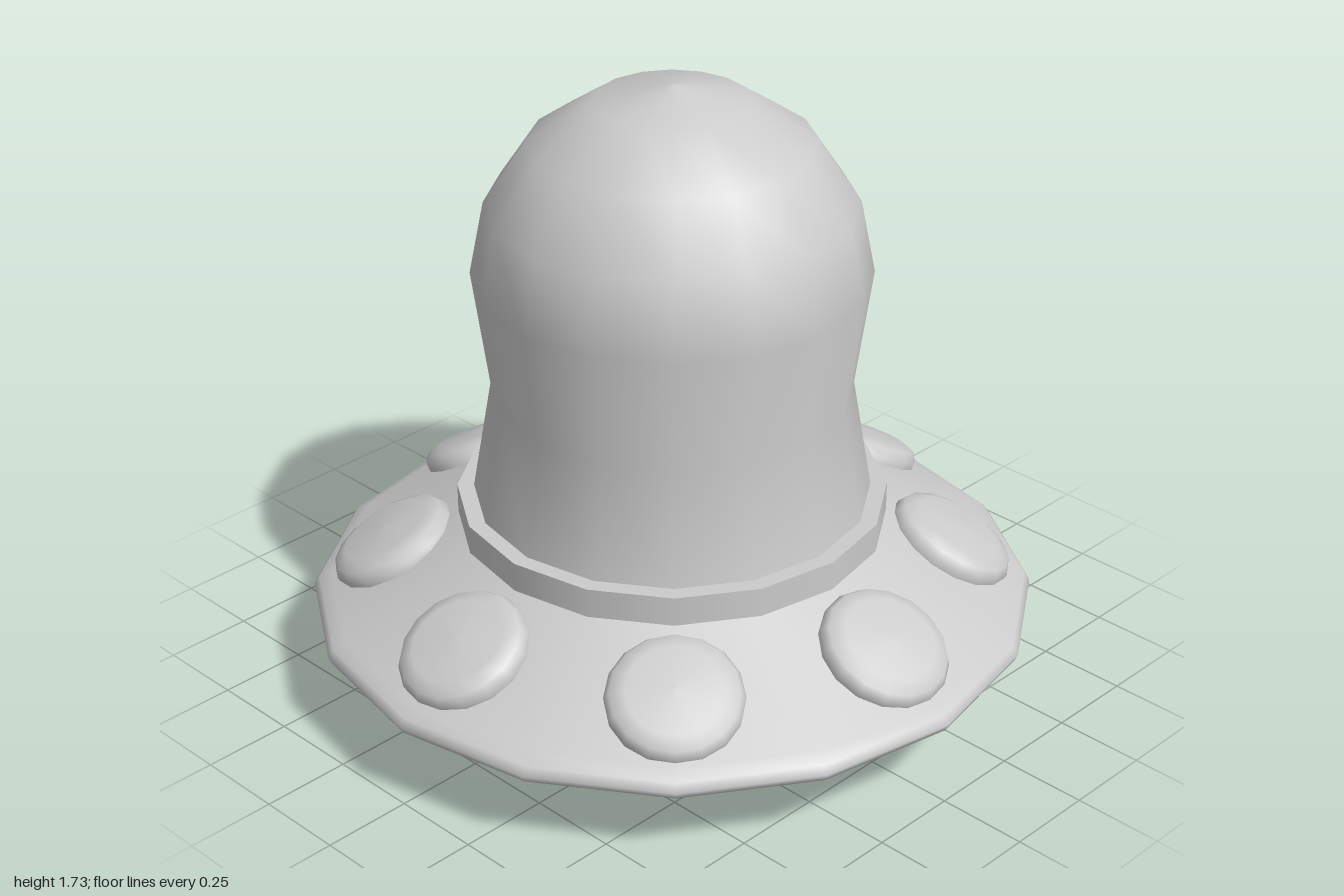
import * as THREE from 'three';

const SIDES = 16;
const material = new THREE.MeshStandardMaterial({ color: 0xcccccc });

function part(name, geometry) {
  const mesh = new THREE.Mesh(geometry, material);
  mesh.name = name;
  return mesh;
}

// Turned shape from [radius, height] pairs, listed bottom to top
function turned(profile) {
  return new THREE.LatheGeometry(profile.map(([r, y]) => new THREE.Vector2(r, y)), SIDES);
}

export function createModel() {
  const saucer = new THREE.Group();
  saucer.name = 'flyingSaucer';

  // Saucer hull with a softly rounded rim, closed by a flat base
  saucer.add(part('hull', turned([
    [0.5, 0], [0.97, 0.205], [0.99, 0.22], [1, 0.24], [0.985, 0.262], [0.95, 0.28], [0.585, 0.475],
  ])));
  const base = new THREE.CircleGeometry(0.5, SIDES).rotateX(Math.PI / 2);
  saucer.add(part('base', base));

  // Collar that seats the canopy
  const collar = part('collar', new THREE.CylinderGeometry(0.59, 0.59, 0.085, SIDES));
  collar.position.y = 0.5125;
  saucer.add(collar);

  // Canopy: waisted neck under a hemispherical top
  const canopy = [[0.545, 0.55], [0.49, 0.87]];
  for (let i = 0; i <= 4; i++) {
    const a = (i / 4) * Math.PI / 2;
    canopy.push([i === 4 ? 0 : 0.535 * Math.cos(a), 1.2 + 0.53 * Math.sin(a)]);
  }
  saucer.add(part('canopy', turned(canopy)));

  // Eight domed lights lying on the sloping upper hull
  const lightShape = turned([[0.18, -0.02], [0.182, 0.005], [0.168, 0.03], [0.128, 0.047], [0, 0.053]]);
  const slope = Math.atan2(0.195, 0.365);
  for (let i = 0; i < 8; i++) {
    const mount = new THREE.Group();
    mount.name = `lightMount${i + 1}`;
    mount.rotation.y = (i * Math.PI) / 4;
    const light = part('light', lightShape);
    light.position.set(0, 0.373, 0.775);
    light.rotation.x = slope;
    mount.add(light);
    saucer.add(mount);
  }

  return saucer;
}
